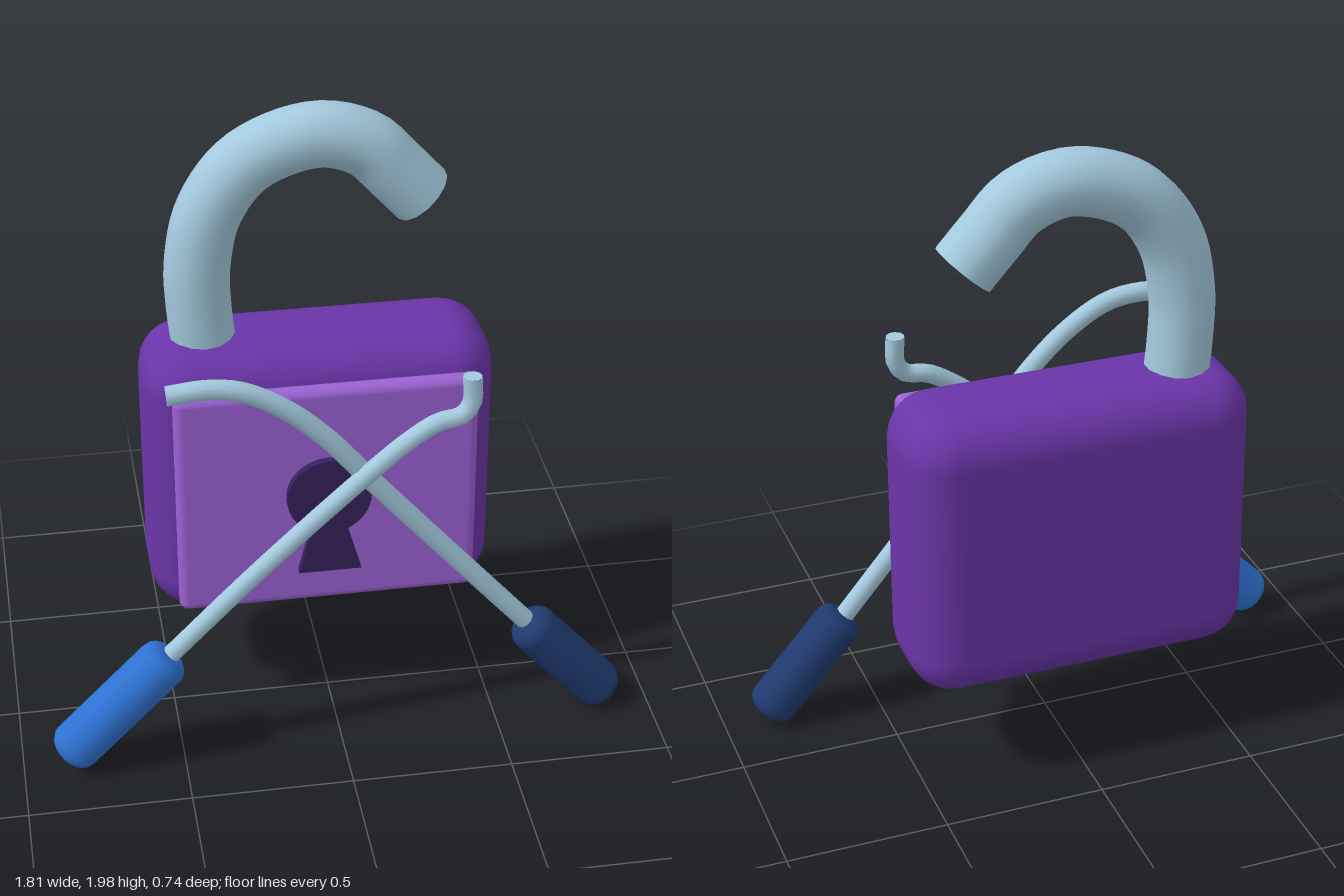
import * as THREE from 'three';
import { RoundedBoxGeometry } from 'three/addons/geometries/RoundedBoxGeometry.js';

const material = (name, color) => {
  const m = new THREE.MeshStandardMaterial({ color });
  m.name = name;
  return m;
};

export function createModel() {
  const model = new THREE.Group();
  model.name = 'padlockWithPicks';

  const bodyPurple = material('body purple', 0x6a35a8);
  const panelPurple = material('panel purple', 0x9c62d4);
  const holePurple = material('keyhole purple', 0x36205c);
  const metal = material('pale steel', 0xa4cade);
  const blue = material('blue grip', 0x2e72d2);
  const navy = material('navy grip', 0x203a70);

  const add = (parent, name, geometry, mat) => {
    const mesh = new THREE.Mesh(geometry, mat);
    mesh.name = name;
    parent.add(mesh);
    return mesh;
  };

  // Round bar along a smooth path, closed by flat discs at both ends
  const addBar = (parent, name, points, radius, sides, steps) => {
    const bar = new THREE.Group();
    bar.name = name;
    parent.add(bar);
    const curve = new THREE.CatmullRomCurve3(points.map(p => new THREE.Vector3(...p)), false, 'centripetal');
    add(bar, name + 'Tube', new THREE.TubeGeometry(curve, steps, radius, sides), metal);
    for (const t of [0, 1]) {
      const cap = add(bar, name + 'End', new THREE.CircleGeometry(radius, sides), metal);
      const out = curve.getTangent(t).multiplyScalar(t ? 1 : -1);
      cap.position.copy(curve.getPoint(t));
      cap.quaternion.setFromUnitVectors(new THREE.Vector3(0, 0, 1), out);
    }
  };

  // Grip: cylinder with rounded rims between two points
  const addGrip = (parent, from, to, radius, mat) => {
    const a = new THREE.Vector3(...from), b = new THREE.Vector3(...to);
    const half = a.distanceTo(b) / 2, r = 0.045;
    const profile = [new THREE.Vector2(0, -half)];
    for (const s of [-1, 1]) {
      for (let i = 0; i <= 4; i++) {
        const k = (s < 0 ? i : 4 - i) / 4 * Math.PI / 2;
        profile.push(new THREE.Vector2(radius - r + r * Math.sin(k), s * (half - r + r * Math.cos(k))));
      }
    }
    profile.push(new THREE.Vector2(0, half));
    const grip = add(parent, 'grip', new THREE.LatheGeometry(profile, 16), mat);
    grip.position.copy(a).add(b).multiplyScalar(0.5);
    grip.quaternion.setFromUnitVectors(new THREE.Vector3(0, 1, 0), b.sub(a).normalize());
  };

  // Lock body and front panel
  add(model, 'lockBody', new RoundedBoxGeometry(1.08, 0.93, 0.4, 3, 0.14), bodyPurple)
    .position.set(-0.012, 0.805, -0.17);
  add(model, 'frontPanel', new RoundedBoxGeometry(0.93, 0.765, 0.06, 3, 0.028), panelPurple)
    .position.set(-0.013, 0.805, 0.065);

  // Keyhole: disc running into a flared slot
  const hole = new THREE.Shape();
  hole.moveTo(-0.095, -0.27);
  hole.lineTo(0.1, -0.27);
  hole.lineTo(0.057, -0.117);
  hole.absarc(0, 0, 0.13, -1.117, Math.PI + 1.117, false);
  hole.closePath();
  add(model, 'keyhole', new THREE.ExtrudeGeometry(hole, { depth: 0.025, bevelEnabled: false, curveSegments: 20 }), holePurple)
    .position.set(-0.015, 0.83, 0.11);

  // Open shackle
  addBar(model, 'shackle', [
    [-0.35, 1.2, -0.172], [-0.365, 1.36, -0.172], [-0.366, 1.5, -0.172], [-0.325, 1.68, -0.172],
    [-0.21, 1.83, -0.172], [-0.01, 1.9, -0.172], [0.14, 1.86, -0.172], [0.23, 1.77, -0.172], [0.312, 1.68, -0.172],
  ], 0.1, 14, 40);

  // Pick with upturned hook and blue grip
  const hookPick = new THREE.Group();
  hookPick.name = 'hookPick';
  model.add(hookPick);
  addGrip(hookPick, [-0.865, 0.07, 0.29], [-0.53, 0.412, 0.288], 0.08, blue);
  addBar(hookPick, 'hookShaft', [
    [-0.56, 0.38, 0.285], [-0.25, 0.69, 0.278], [0.05, 0.965, 0.267], [0.2, 1.09, 0.26],
    [0.29, 1.145, 0.256], [0.36, 1.16, 0.254], [0.39, 1.2, 0.252], [0.39, 1.29, 0.25],
  ], 0.029, 10, 48);

  // Pick with bent-over tip and navy grip
  const bentPick = new THREE.Group();
  bentPick.name = 'bentPick';
  model.add(bentPick);
  addGrip(bentPick, [0.868, 0.052, 0.222], [0.592, 0.36, 0.224], 0.078, navy);
  addBar(bentPick, 'bentShaft', [
    [0.62, 0.33, 0.218], [0.38, 0.61, 0.224], [0.1, 0.94, 0.232], [-0.04, 1.11, 0.236],
    [-0.16, 1.22, 0.238], [-0.29, 1.295, 0.24], [-0.39, 1.312, 0.24], [-0.51, 1.302, 0.24],
  ], 0.031, 10, 48);

  return model;
}
